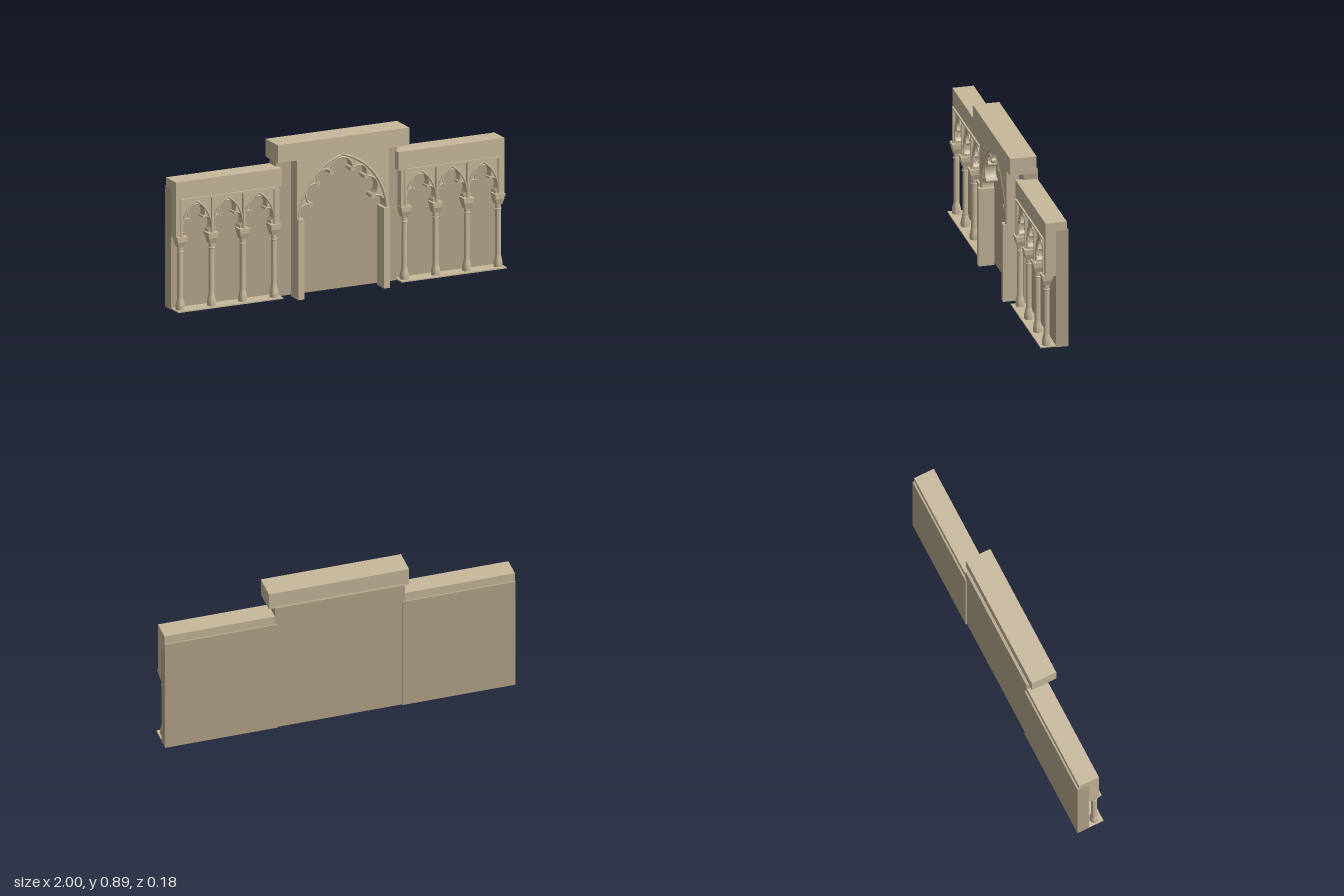
import * as THREE from 'three';
import { toCreasedNormals } from 'three/addons/utils/BufferGeometryUtils.js';

const stone = new THREE.MeshStandardMaterial({ color: 0xc8b99c, side: THREE.DoubleSide });
const backing = new THREE.MeshStandardMaterial({ color: 0xb6a78c });

function add(parent, name, geometry, material = stone) {
  const mesh = new THREE.Mesh(geometry, material);
  mesh.name = name;
  parent.add(mesh);
  return mesh;
}

// Box given by its limits on each axis
function block(parent, name, x0, x1, y0, y1, z0, z1, material) {
  const g = new THREE.BoxGeometry(Math.abs(x1 - x0), y1 - y0, z1 - z0);
  g.translate((x0 + x1) / 2, (y0 + y1) / 2, (z0 + z1) / 2);
  return add(parent, name, g, material);
}

// Points of a circular arc from p to q, bulging left of the travel direction by sag
function arc(p, q, sag, n = 12) {
  const dx = q[0] - p[0], dy = q[1] - p[1], c = Math.hypot(dx, dy);
  const r = (c * c / 4 + sag * sag) / (2 * sag);
  const nx = -dy / c, ny = dx / c;
  const cx = (p[0] + q[0]) / 2 + nx * (sag - r), cy = (p[1] + q[1]) / 2 + ny * (sag - r);
  const a0 = Math.atan2(p[1] - cy, p[0] - cx);
  let sweep = Math.atan2(q[1] - cy, q[0] - cx) - a0;
  if (sweep > 0) sweep -= 2 * Math.PI;
  return Array.from({ length: n + 1 }, (_, i) => {
    const a = a0 + sweep * i / n;
    return [cx + r * Math.cos(a), cy + r * Math.sin(a)];
  });
}

// Mirror a list of left-hand lobes to make the whole arch, left to right
const mirrored = lobes => lobes.map(l => l.map(([x, y]) => [-x, y]).reverse()).reverse();

// Slab with a free outline between two depths
function slab(parent, name, points, z0, z1) {
  const shape = new THREE.Shape(points.map(p => new THREE.Vector2(...p)));
  const g = new THREE.ExtrudeGeometry(shape, { depth: z1 - z0, bevelEnabled: false });
  g.translate(0, 0, z0);
  return add(parent, name, toCreasedNormals(g, 0.6));
}

// Round moulding along a line of points
function moulding(parent, name, points, z, r) {
  const curve = new THREE.CatmullRomCurve3(points.map(p => new THREE.Vector3(p[0], p[1], z)));
  add(parent, name, new THREE.TubeGeometry(curve, points.length * 2, r, 8));
}

function column(x) {
  const g = new THREE.Group();
  g.name = 'column';
  const profile = [[0, 0.02], [0.025, 0.02], [0.025, 0.045], [0.022, 0.06], [0.017, 0.08],
    [0.016, 0.09], [0.016, 0.375]].map(p => new THREE.Vector2(...p));
  add(g, 'shaft', toCreasedNormals(new THREE.LatheGeometry(profile, 20), 0.7));
  const ring = add(g, 'neckRing', new THREE.TorusGeometry(0.016, 0.004, 8, 20));
  ring.rotation.x = Math.PI / 2;
  ring.position.y = 0.347;
  // square flared capital
  const flare = new THREE.CylinderGeometry(0.027 * Math.SQRT2, 0.018 * Math.SQRT2, 0.032, 4, 1);
  flare.rotateY(Math.PI / 4);
  add(g, 'capital', toCreasedNormals(flare, 0.5)).position.y = 0.39;
  block(g, 'capitalBlock', -0.027, 0.027, 0.405, 0.42, -0.027, 0.027);
  block(g, 'abacus', -0.031, 0.031, 0.42, 0.435, -0.031, 0.031);
  g.position.set(x, 0, 0.026);
  return g;
}

function wing(s) {
  const g = new THREE.Group();
  g.name = s > 0 ? 'leftWing' : 'rightWing';
  const columns = [0.397, 0.587, 0.777, 0.967];
  block(g, 'backWall', s * 0.355, s, 0.01, 0.695, -0.09, -0.02, backing);
  block(g, 'topBeam', s * 0.355, s, 0.64, 0.745, -0.08, 0.04);
  block(g, 'plinth', s * 0.36, s, 0.013, 0.02, -0.025, 0.068);
  block(g, 'outerBorder', s * 0.973, s, 0.43, 0.64, -0.02, 0.04);
  block(g, 'innerBorder', s * 0.37, s * 0.391, 0.43, 0.64, -0.02, 0.04);

  // pierced panel with three trefoil arches
  const half = [arc([-0.076, 0.45], [-0.045, 0.53], 0.032), arc([-0.045, 0.53], [0, 0.605], 0.026)];
  const lobes = [...half, ...mirrored(half)];
  const pointed = arc([-0.09, 0.44], [0, 0.624], 0.03);
  const xs = s > 0 ? columns : columns.map(x => -x).reverse();
  const outline = [[Math.min(s * 0.37, s), 0.43]];
  for (let i = 0; i < 3; i++) {
    const cx = (xs[i] + xs[i + 1]) / 2;
    const at = pts => pts.map(([x, y]) => [x + cx, y]);
    outline.push([cx - 0.076, 0.43], ...lobes.flatMap(l => at(l).slice(0, -1)),
      [cx + 0.076, 0.45], [cx + 0.076, 0.43]);
    lobes.forEach(l => moulding(g, 'trefoilMoulding', at(l), 0.033, 0.004));
    [pointed, ...mirrored([pointed])].forEach(l => moulding(g, 'archMoulding', at(l), 0.036, 0.006));
    for (const k of [-1, 1]) {
      const cusp = new THREE.CylinderGeometry(0.007, 0.007, 0.056, 12).rotateX(Math.PI / 2);
      add(g, 'cusp', cusp).position.set(cx + k * 0.043, 0.528, 0.01);
    }
  }
  outline.push([Math.max(s * 0.37, s), 0.43], [Math.max(s * 0.37, s), 0.64], [Math.min(s * 0.37, s), 0.64]);
  slab(g, 'archPanel', outline, -0.02, 0.032);

  // square frame around each arch
  block(g, 'frameRail', s * 0.391, s * 0.973, 0.635, 0.646, 0.02, 0.05);
  for (const x of columns) {
    block(g, 'frameStrip', s * x - 0.006, s * x + 0.006, 0.435, 0.64, 0.02, 0.048);
    g.add(column(s * x));
  }
  return g;
}

function centrePortal() {
  const g = new THREE.Group();
  g.name = 'centrePortal';
  block(g, 'backWall', -0.37, 0.37, 0.01, 0.8, -0.083, 0, backing);
  block(g, 'cornice', -0.4, 0.4, 0.79, 0.89, -0.067, 0.082);

  // lobed arch opening
  const cusps = [[-0.262, 0.455], [-0.19, 0.525], [-0.147, 0.64], [-0.064, 0.693]];
  const half = [arc(cusps[0], cusps[1], 0.03), arc(cusps[1], cusps[2], 0.05), arc(cusps[2], cusps[3], 0.045)];
  const lobes = [...half, arc(cusps[3], [0.064, 0.693], 0.075, 18), ...mirrored(half)];
  const inner = [...lobes.flatMap(l => l.slice(0, -1)), [0.262, 0.455]];
  slab(g, 'lobedArch', [...inner, [0.28, 0.455], [0.28, 0.79], [-0.28, 0.79], [-0.28, 0.455]], 0, 0.06);
  lobes.forEach(l => moulding(g, 'lobeMoulding', l, 0.061, 0.005));

  // raised spandrels outside the pointed arch
  const pointed = arc([-0.268, 0.455], [0, 0.787], 0.068, 20);
  for (const k of [-1, 1]) {
    const side = pointed.map(([x, y]) => [-k * x, y]);
    slab(g, 'spandrel', [...side, [0, 0.79], [k * 0.28, 0.79], [k * 0.28, 0.455]], 0.055, 0.072);
    moulding(g, 'archMoulding', side, 0.068, 0.008);
    for (const [x, y] of cusps.slice(1)) {
      const rod = new THREE.CylinderGeometry(0.013, 0.013, 0.066, 16).rotateX(Math.PI / 2);
      add(g, 'cusp', rod).position.set(k * x, y, 0.033);
    }
    block(g, 'jambPost', k * 0.243, k * 0.279, 0, 0.455, 0.0, 0.09);
  }
  return g;
}

export function createModel() {
  const model = new THREE.Group();
  model.name = 'arcadeWall';
  model.add(centrePortal(), wing(1), wing(-1));
  return model;
}
